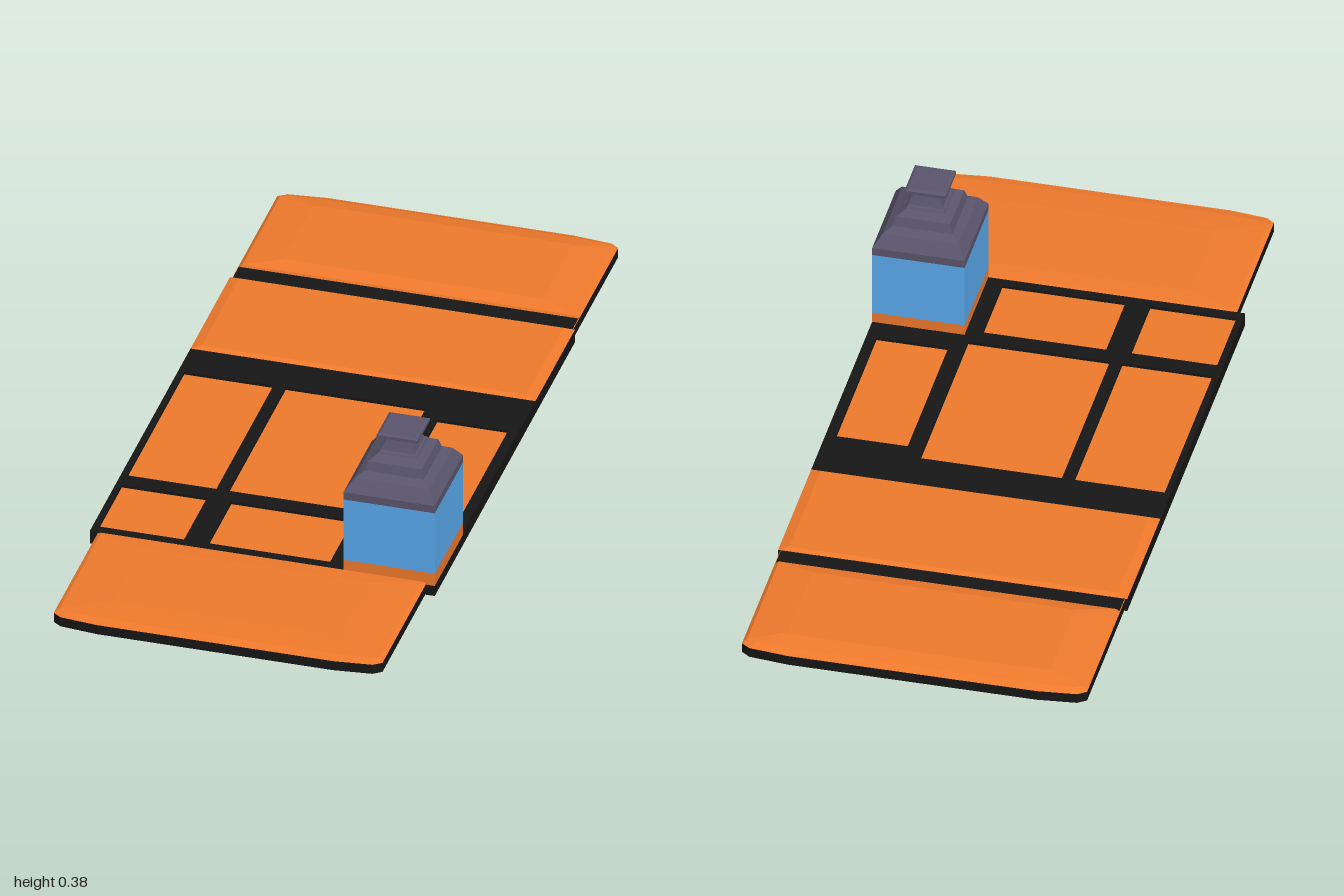
import * as THREE from 'three';

const mat = (color) => new THREE.MeshStandardMaterial({ color, flatShading: true, side: THREE.DoubleSide });

// Flat outlines are stored as (x, -z), counter-clockwise seen from above.
const rect = (x0, x1, z0, z1) => [[x0, z1], [x1, z1], [x1, z0], [x0, z0]].map(([x, z]) => new THREE.Vector2(x, -z));

// Flap outline with a softened outer end; dir 1 points to the front, -1 to the back
function flapOutline(hw, inner, outer, dir, soft = 0.025) {
  const half = [[hw * 0.72, outer], [hw * 0.95, outer - soft * 0.4], [hw, outer - soft], [hw, inner]];
  const pts = [...half.map(([x, z]) => [-x, z]).reverse(), ...half];
  return pts.map(([x, z]) => new THREE.Vector2(x * dir, -z * dir));
}

// Upright slab between two heights
function slab(points, y0, y1, holes = []) {
  const shape = new THREE.Shape(points);
  holes.forEach((h) => shape.holes.push(new THREE.Path(h)));
  const g = new THREE.ExtrudeGeometry(shape, { depth: y1 - y0, bevelEnabled: false });
  return g.rotateX(-Math.PI / 2).translate(0, y0, 0);
}

// Closed pad skinned over outlines at rising heights
function pad(rings) {
  const pos = [], idx = [], n = rings[0].points.length;
  rings.forEach(({ points, y }) => points.forEach((p) => pos.push(p.x, y, -p.y)));
  for (let r = 0; r < rings.length - 1; r++) {
    for (let j = 0; j < n; j++) {
      const a = r * n + j, b = r * n + (j + 1) % n;
      idx.push(a, b, b + n, a, b + n, a + n);
    }
  }
  const top = (rings.length - 1) * n;
  for (let j = 1; j < n - 1; j++) idx.push(top, top + j, top + j + 1);
  const g = new THREE.BufferGeometry();
  g.setAttribute('position', new THREE.Float32BufferAttribute(pos, 3));
  g.setIndex(idx);
  const flat = g.toNonIndexed();
  flat.computeVertexNormals();
  return flat;
}

export function createModel() {
  const group = new THREE.Group();
  const orange = mat(0xf07a2c), black = mat(0x161616), blue = mat(0x5aaaee), grey = mat(0x5a556c);
  const add = (name, geometry, material, parent = group) => {
    const m = new THREE.Mesh(geometry, material);
    m.name = name;
    parent.add(m);
    return m;
  };

  // Base slabs: orange faces with black edges
  const edged = [orange, black];
  add('middleBase', slab(rect(-0.425, 0.425, -0.59, 0.6), 0, 0.028), edged);
  add('frontBase', slab(flapOutline(0.405, 0.6, 1, 1), 0.008, 0.033), edged);
  add('backBase', slab(flapOutline(0.42, 0.59, 1, -1), 0.008, 0.033), edged);

  // Black deck frame with windows onto the orange floor
  const windows = [
    [-0.41, -0.19, -0.15, 0.335], [-0.16, 0.185, -0.15, 0.335], [0.225, 0.4, -0.11, 0.3],
    [-0.41, -0.2, 0.38, 0.575], [-0.14, 0.16, 0.38, 0.575],
  ];
  const holes = windows.map((w) => rect(...w));
  add('deckFrame', slab(rect(-0.425, 0.425, -0.255, 0.6), 0.028, 0.035, holes), black);

  // Rear panel and the black gap behind it
  add('rearPanelEdge', slab(rect(-0.425, 0.425, -0.59, -0.255), 0.028, 0.035), black);
  add('rearPanel', pad([
    { points: rect(-0.425, 0.425, -0.59, -0.255), y: 0.035 },
    { points: rect(-0.4, 0.4, -0.58, -0.265), y: 0.042 },
  ]), orange);
  add('gapStrip', slab(rect(-0.418, 0.418, -0.645, -0.59), 0.02, 0.035), black);

  // Softly raised end pads
  add('backPad', pad([
    { points: flapOutline(0.42, 0.64, 0.998, -1), y: 0.033 },
    { points: flapOutline(0.41, 0.643, 0.98, -1, 0.015), y: 0.041 },
    { points: flapOutline(0.32, 0.68, 0.935, -1, 0.005), y: 0.05 },
  ]), orange);
  add('frontPad', pad([
    { points: flapOutline(0.405, 0.6, 0.998, 1), y: 0.033 },
    { points: flapOutline(0.395, 0.605, 0.975, 1, 0.015), y: 0.038 },
    { points: flapOutline(0.28, 0.65, 0.9, 1, 0.005), y: 0.042 },
  ]), orange);

  // Square tower, each section turned with four sides: [half width, height]
  const tower = new THREE.Group();
  tower.name = 'tower';
  tower.position.set(0.3125, 0, 0.48);
  tower.scale.z = 1.067;
  group.add(tower);
  const section = (name, profile, material) => {
    const pts = profile.map(([r, y]) => new THREE.Vector2(r * Math.SQRT2, y));
    add(name, new THREE.LatheGeometry(pts, 4, Math.PI / 4), material, tower);
  };
  section('towerFoot', [[0.1125, 0.028], [0.1125, 0.062]], orange);
  section('towerBody', [[0.1125, 0.062], [0.1125, 0.23]], blue);
  section('towerCap', [
    [0.1125, 0.23], [0.1125, 0.25], [0.092, 0.28], [0.073, 0.292], [0.066, 0.315], [0.048, 0.328],
    [0.045, 0.333], [0.04, 0.335], [0.031, 0.361], [0.05, 0.373], [0.05, 0.381], [0.043, 0.385], [0, 0.385],
  ], grey);

  return group;
}
